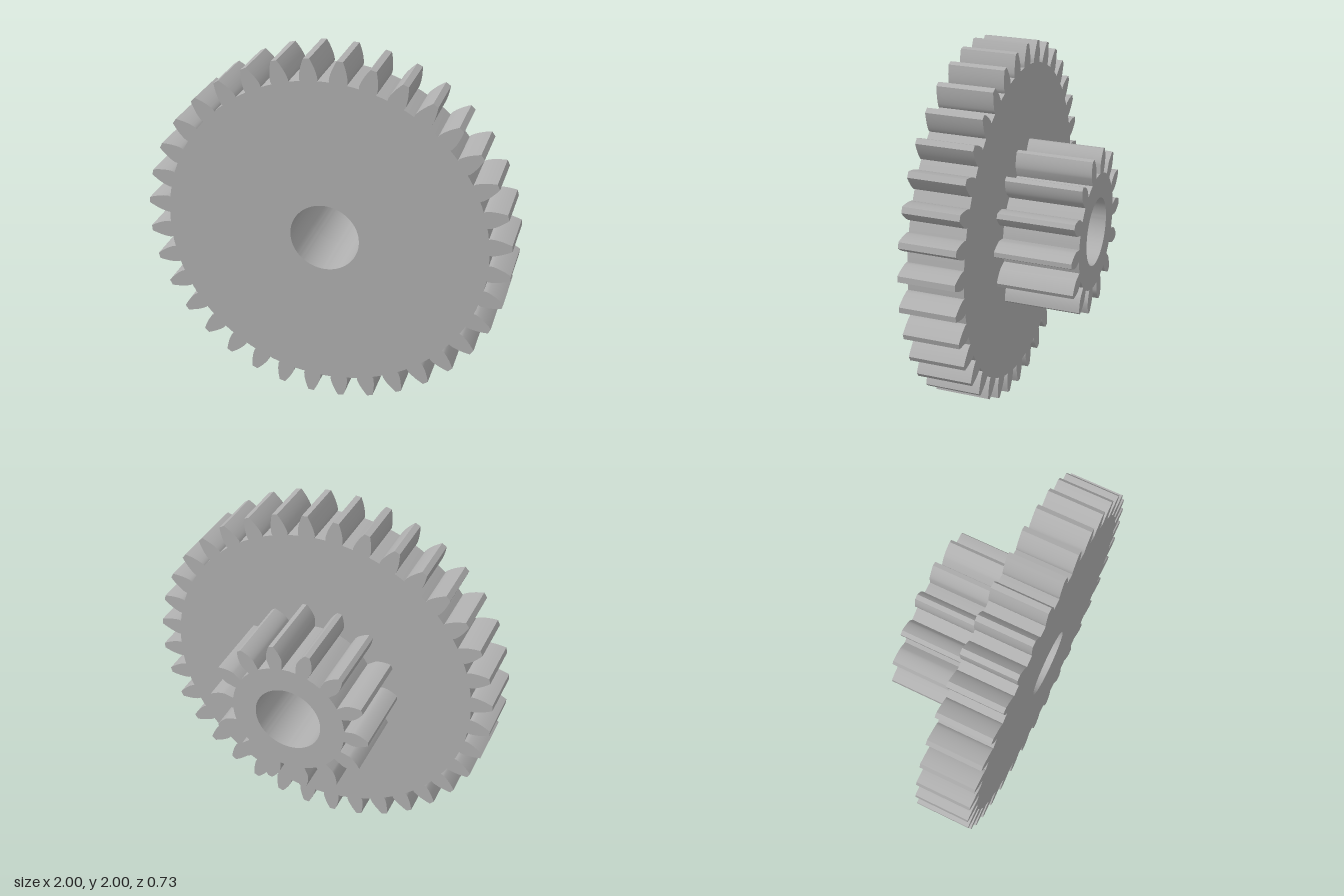
import * as THREE from 'three';
import { toCreasedNormals } from 'three/addons/utils/BufferGeometryUtils.js';

const BORE = 0.19;
const inv = (a) => Math.tan(a) - a;

// Outline of a spur gear with involute flanks, narrowing slightly below the base circle.
function gearShape({ teeth, tip, root, pitch, pressure, slack, neck, phase }) {
  const base = pitch * Math.cos(pressure);
  const halfAngle = (r) =>
    Math.PI / (2 * teeth) - slack + inv(pressure) - inv(Math.acos(Math.min(1, base / r)));

  // One flank from root to tip, as [radius, half angle]
  const flank = [[root, halfAngle(base) * neck]];
  const start = Math.max(base, root + 0.012);
  const steps = 7;
  for (let i = 0; i <= steps; i++) {
    const r = start + ((tip - start) * i) / steps;
    flank.push([r, halfAngle(r)]);
  }

  const points = [];
  const add = (r, a) => points.push(new THREE.Vector2(r * Math.cos(a), r * Math.sin(a)));
  for (let t = 0; t < teeth; t++) {
    const mid = phase + (t * 2 * Math.PI) / teeth;
    flank.forEach(([r, h]) => add(r, mid - h));
    [...flank].reverse().forEach(([r, h]) => add(r, mid + h));
    add(root, mid + Math.PI / teeth); // middle of the valley
  }

  const shape = new THREE.Shape(points);
  const bore = new THREE.Path();
  bore.absarc(0, 0, BORE, 0, Math.PI * 2, true);
  shape.holes.push(bore);
  return shape;
}

function gear(name, spec, zBack, zFront, material) {
  const extruded = new THREE.ExtrudeGeometry(gearShape(spec), {
    depth: zFront - zBack,
    bevelEnabled: false,
    curveSegments: 64,
  });
  const mesh = new THREE.Mesh(toCreasedNormals(extruded, 0.45), material);
  mesh.name = name;
  mesh.position.set(0, 1, zBack);
  return mesh;
}

export function createModel() {
  const group = new THREE.Group();
  group.name = 'compoundGear';
  const grey = new THREE.MeshStandardMaterial({ color: 0xb0b0b0 });
  grey.name = 'plain grey';
  const deg = Math.PI / 180;

  // Large front wheel
  group.add(gear('largeGear', {
    teeth: 36, tip: 1.0025, root: 0.884, pitch: 0.95,
    pressure: 20 * deg, slack: 0.004, neck: 0.95, phase: 5 * deg,
  }, 0.06, 0.365, grey));

  // Small pinion on the back
  group.add(gear('pinion', {
    teeth: 14, tip: 0.464, root: 0.328, pitch: 0.405,
    pressure: 20 * deg, slack: 0.01, neck: 0.9, phase: 1.7 * deg,
  }, -0.365, 0.06, grey));

  return group;
}
